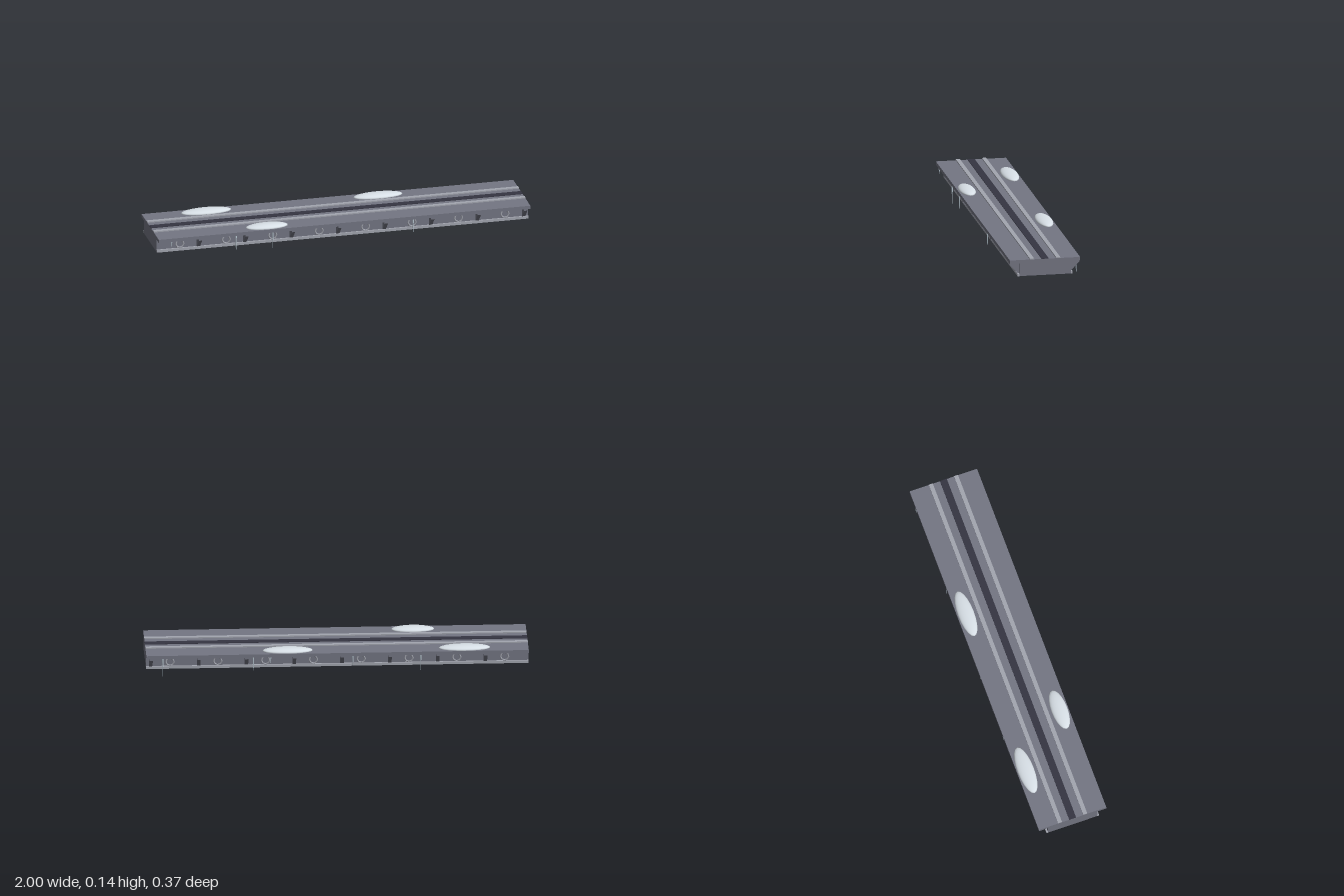
import * as THREE from 'three';

const mat = (name, color) => {
  const m = new THREE.MeshStandardMaterial({ color });
  m.name = name;
  return m;
};

export function createModel() {
  const steel = mat('steel', 0x747683);
  const lightSteel = mat('lightSteel', 0xa3a6b0);
  const darkStrip = mat('darkStrip', 0x353542);
  const snow = mat('snow', 0xdfe7ee);
  const ice = mat('ice', 0xc3d3de);

  const model = new THREE.Group();
  model.name = 'snowyTrackBeam';

  const add = (name, geometry, material, x = 0, y = 0, z = 0) => {
    const mesh = new THREE.Mesh(geometry, material);
    mesh.name = name;
    mesh.position.set(x, y, z);
    model.add(mesh);
    return mesh;
  };
  // Full-length bar between two heights
  const bar = (name, material, y0, y1, z, width) =>
    add(name, new THREE.BoxGeometry(2, y1 - y0, width), material, 0, (y0 + y1) / 2, z);

  // Beam body, deck and centre strip
  bar('beamBody', steel, 0.038, 0.107, 0, 0.274);
  bar('deck', steel, 0.107, 0.125, 0, 0.374);
  bar('centreStrip', darkStrip, 0.125, 0.128, 0, 0.038);

  // Triangular bracket under the deck overhang
  const profile = new THREE.Shape([
    [0.135, 0.05], [0.141, 0.05], [0.187, 0.099], [0.187, 0.107], [0.135, 0.107],
  ].map(([z, y]) => new THREE.Vector2(z, y)));
  const bracket = new THREE.ExtrudeGeometry(profile, { depth: 0.018, bevelEnabled: false });
  bracket.translate(0, 0, -0.009);
  const ring = new THREE.TorusGeometry(0.021, 0.0045, 6, 8);

  for (const side of [1, -1]) {
    bar('rail', lightSteel, 0.125, 0.131, side * 0.07, 0.022);
    bar('lowerFlange', lightSteel, 0.037, 0.051, side * 0.141, 0.01);
    for (let i = 0; i < 8; i++) {
      const x = -0.875 + i * 0.25;
      add('sideRing', ring, lightSteel, x, 0.073, side * 0.138);
      add('bracket', bracket, steel, x + 0.1, 0, 0).rotation.y = -side * Math.PI / 2;
    }
  }

  // Snow drifts: x, z, half length, half width
  const drift = new THREE.SphereGeometry(1, 20, 12);
  for (const [x, z, rx, rz] of [
    [-0.665, -0.14, 0.135, 0.044],
    [0.26, -0.14, 0.132, 0.043],
    [-0.407, 0.139, 0.113, 0.043],
  ]) add('snowDrift', drift, snow, x, 0.127, z).scale.set(rx, 0.017, rz);

  // Icicles under the deck edges: x, side, tip height
  for (const [x, side, tip] of [
    [-0.583, 1, 0.003], [-0.385, 1, 0.01], [0.37, 1, 0.02], [-0.93, 1, 0.07],
    [0.914, -1, 0], [0.44, -1, 0.006], [0.35, -1, 0.07], [-0.08, -1, 0.04], [-0.435, -1, 0.022],
  ]) {
    const length = 0.108 - tip;
    const cone = new THREE.ConeGeometry(0.0045, length, 6);
    cone.rotateX(Math.PI);
    add('icicle', cone, ice, x, tip + length / 2, side * 0.182);
  }

  return model;
}
